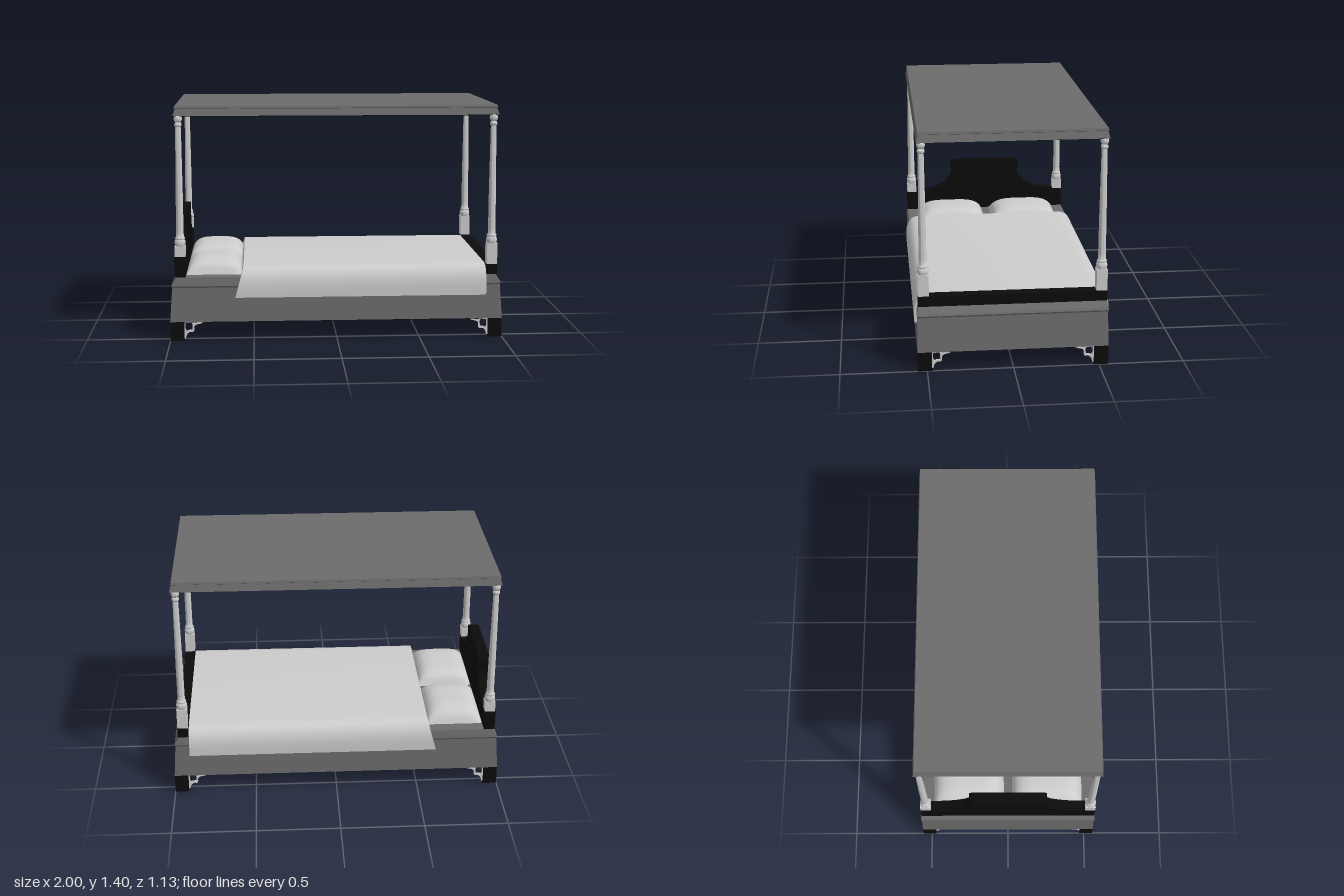
import * as THREE from 'three';
import { toCreasedNormals } from 'three/addons/utils/BufferGeometryUtils.js';

const material = (name, color) => new THREE.MeshStandardMaterial({ name, color });

export function createModel() {
  const black = material('black wood', 0x0b0b0b);
  const gray = material('gray wood', 0x6c6c6c);
  const pale = material('pale linen and paint', 0xcccccc);
  const bed = new THREE.Group();
  bed.name = 'canopyBed';

  function add(name, geometry, mat, x = 0, y = 0, z = 0, parent = bed) {
    const mesh = new THREE.Mesh(geometry, mat);
    mesh.name = name;
    mesh.position.set(x, y, z);
    parent.add(mesh);
    return mesh;
  }

  // Rectangular moulding built from rows of [height, half width, half depth]
  function rectLoft(rows) {
    const pos = [], index = [];
    for (const [y, a, b] of rows) pos.push(a, y, b, a, y, -b, -a, y, -b, -a, y, b);
    for (let r = 0; r < rows.length - 1; r++) {
      for (let i = 0; i < 4; i++) {
        const p = r * 4 + i, q = r * 4 + (i + 1) % 4;
        index.push(p, q, q + 4, p, q + 4, p + 4);
      }
    }
    const t = (rows.length - 1) * 4;
    index.push(t, t + 1, t + 2, t, t + 2, t + 3, 0, 2, 1, 0, 3, 2);
    const g = new THREE.BufferGeometry();
    g.setAttribute('position', new THREE.Float32BufferAttribute(pos, 3));
    g.setIndex(index);
    const flat = g.toNonIndexed();
    flat.computeVertexNormals();
    return flat;
  }

  // Symmetric outline in (z, y) from its right half, listed bottom to top
  function mirroredShape(half) {
    const left = half.map(([z, y]) => [-z, y]).reverse();
    return new THREE.Shape([...half, ...left].map(([z, y]) => new THREE.Vector2(z, y)));
  }

  // Frame with flared skirt and moulded lip
  add('bedFrame', rectLoft([
    [0.115, 1, 0.555], [0.322, 0.985, 0.549], [0.332, 0.99, 0.554],
    [0.345, 0.985, 0.552], [0.385, 0.958, 0.545],
  ]), gray);
  add('frameUnderside', new THREE.BoxGeometry(1.98, 0.006, 1.09), black, 0, 0.114, 0);

  // Canopy with flared sides and a thin cap
  add('canopy', rectLoft([
    [1.347, 0.966, 0.541], [1.388, 0.952, 0.53], [1.391, 0.958, 0.535], [1.404, 0.955, 0.532],
  ]), gray);
  add('canopyUnderside', new THREE.BoxGeometry(1.91, 0.006, 1.06), black, 0, 1.346, 0);

  // Scrolled headboard and low footboard
  const headboard = new THREE.ExtrudeGeometry(mirroredShape([
    [0.546, 0.385], [0.546, 0.51], [0.48, 0.512], [0.38, 0.523], [0.32, 0.543], [0.27, 0.573],
    [0.242, 0.61], [0.232, 0.635], [0.23, 0.66], [0.24, 0.695], [0.239, 0.712], [0.226, 0.724], [0.205, 0.73],
  ]), { depth: 0.065, bevelEnabled: false });
  headboard.rotateY(Math.PI / 2);
  add('headboard', toCreasedNormals(headboard, 0.6), black, -0.97);
  add('footboard', new THREE.BoxGeometry(0.065, 0.062, 1.092), black, 0.935, 0.415, 0);

  // Blanket draped over both sides, slanting at its head edge
  const blanket = new THREE.ExtrudeGeometry(mirroredShape([
    [0.566, 0.262], [0.567, 0.32], [0.564, 0.355], [0.556, 0.385], [0.542, 0.412],
    [0.522, 0.431], [0.495, 0.441], [0.46, 0.445],
  ]), { depth: 1, bevelEnabled: false });
  const bp = blanket.attributes.position;
  for (let i = 0; i < bp.count; i++) {
    const y = bp.getY(i);
    const head = -0.56 - 0.05 * (0.445 - y) / 0.183;
    bp.setXYZ(i, THREE.MathUtils.lerp(head, 0.9, bp.getZ(i)), y, -bp.getX(i));
  }
  add('blanket', toCreasedNormals(blanket, 0.7), pale);

  // Plump pillows
  const pillow = new THREE.PlaneGeometry(2, 2, 28, 28).rotateX(-Math.PI / 2);
  const pp = pillow.attributes.position;
  for (let i = 0; i < pp.count; i++) {
    const u = pp.getX(i), v = pp.getZ(i);
    const swell = Math.max(0, (1 - u ** 4) * (1 - v ** 4)) ** 0.6;
    pp.setXYZ(i, u * 0.172, 0.092 * swell, v * 0.222);
  }
  pillow.computeVertexNormals();
  for (const s of [1, -1]) add(s > 0 ? 'frontPillow' : 'backPillow', pillow, pale, -0.733, 0.384, s * 0.248);

  // Turned post profile
  const profile = [
    [0.028, 0.57], [0.031, 0.578], [0.033, 0.592], [0.031, 0.606], [0.026, 0.612], [0.029, 0.616],
    [0.029, 0.622], [0.023, 0.628], [0.022, 0.66], [0.0215, 0.85], [0.017, 1.27], [0.016, 1.282],
    [0.021, 1.287], [0.022, 1.295], [0.02, 1.302], [0.015, 1.308], [0.021, 1.314], [0.025, 1.328],
    [0.022, 1.342], [0.016, 1.35],
  ].map(([r, y]) => new THREE.Vector2(r, y));
  const turning = toCreasedNormals(new THREE.LatheGeometry(profile, 24), 0.8);

  // Pierced corner bracket
  const fret = new THREE.Shape([
    [-0.004, 0.115], [-0.004, 0.01], [0.008, 0.01], [0.012, 0.028], [0.02, 0.042], [0.032, 0.05], [0.052, 0.05],
    [0.058, 0.058], [0.058, 0.08], [0.066, 0.092], [0.082, 0.098], [0.098, 0.1], [0.108, 0.106], [0.11, 0.115],
  ].map(([x, y]) => new THREE.Vector2(x, y)));
  const hole = (pts) => fret.holes.push(new THREE.Path(pts.map(([x, y]) => new THREE.Vector2(x, y))));
  hole([[0.007, 0.106], [0.044, 0.106], [0.049, 0.095], [0.048, 0.062], [0.026, 0.06], [0.013, 0.055], [0.007, 0.07]]);
  hole([[0.058, 0.108], [0.08, 0.108], [0.074, 0.103], [0.062, 0.1]]);
  const fretGeo = new THREE.ExtrudeGeometry(fret, { depth: 0.014, bevelEnabled: false });
  const sideFret = fretGeo.clone().rotateY(Math.PI);
  const endFret = fretGeo.clone().rotateY(Math.PI / 2);

  // Legs, brackets and posts, mirrored to the four corners
  for (const sx of [1, -1]) {
    for (const sz of [1, -1]) {
      const corner = new THREE.Group();
      corner.name = (sx > 0 ? 'foot' : 'head') + (sz > 0 ? 'Front' : 'Back') + 'Corner';
      corner.scale.set(sx, 1, sz);
      bed.add(corner);
      add('leg', new THREE.BoxGeometry(0.083, 0.116, 0.083), black, 0.958, 0.058, 0.513, corner);
      add('sideBracket', sideFret, pale, 0.917, 0, 0.54, corner);
      add('endBracket', endFret, pale, 0.972, 0, 0.472, corner);
      const base = sx > 0 ? 0.446 : 0.51;
      add('postBlock', new THREE.BoxGeometry(0.063, 0.572 - base, 0.063), pale, 0.935, (base + 0.572) / 2, 0.514, corner);
      add('post', turning, pale, 0.935, 0, 0.514, corner);
    }
  }
  return bed;
}
